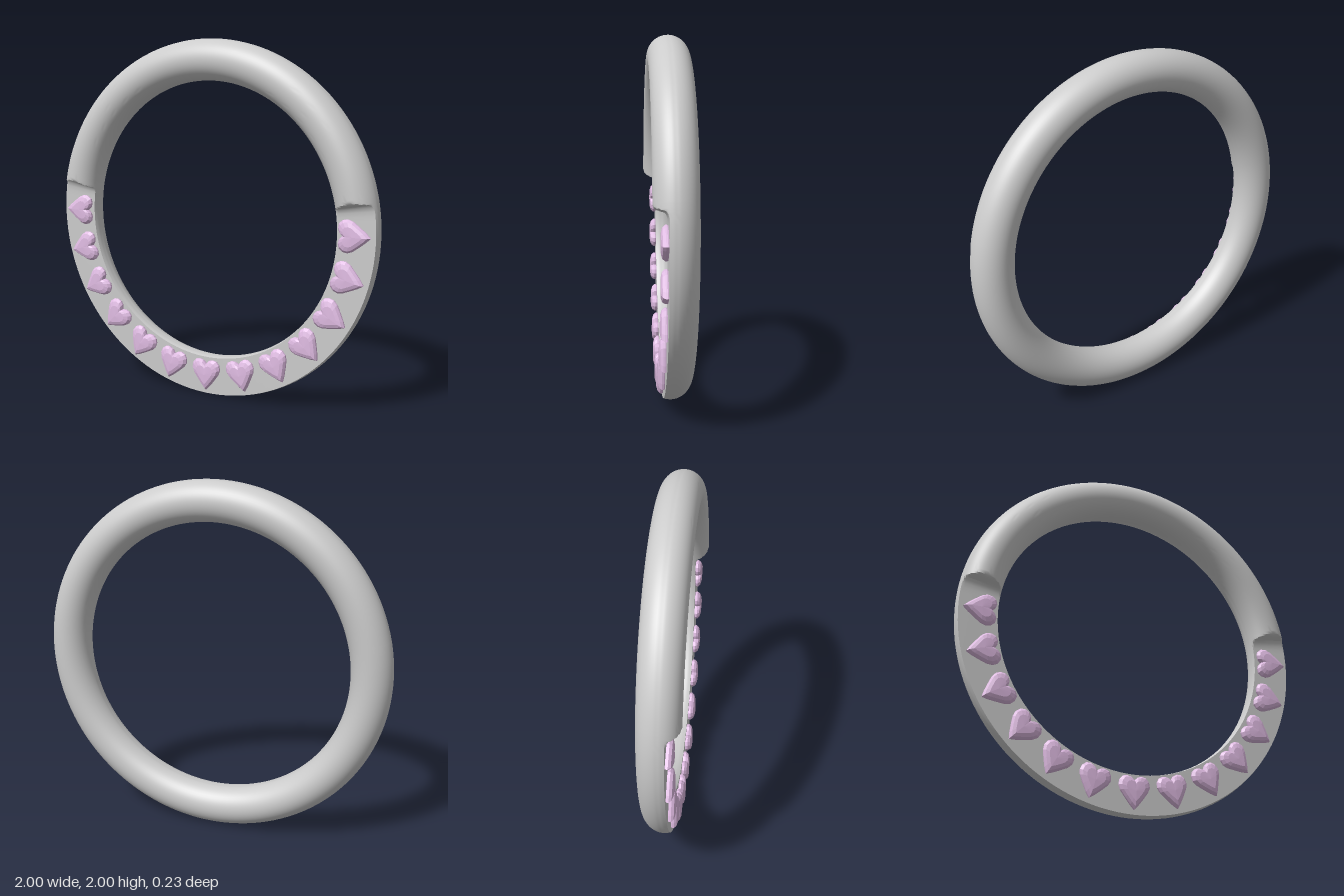
import * as THREE from 'three';
import { toCreasedNormals } from 'three/addons/utils/BufferGeometryUtils.js';

const R = 0.887, T = 0.113, FLAT = 0.037;
const rad = THREE.MathUtils.degToRad;

// Joins loops of equal length into a skin; optionally closes the loops end to end
function skin(loops, wrap, capPoint) {
  const n = loops[0].length, m = loops.length, index = [];
  const points = loops.flat();
  for (let i = 0; i < (wrap ? m : m - 1); i++) {
    for (let j = 0; j < n; j++) {
      const k = (j + 1) % n, next = (i + 1) % m;
      const a = i * n + j, b = next * n + j, c = next * n + k, d = i * n + k;
      if (wrap) index.push(a, b, c, a, c, d);
      else index.push(a, d, c, a, c, b);
    }
  }
  if (capPoint) {
    points.push(capPoint);
    for (let j = 0; j < n; j++) index.push((m - 1) * n + j, (m - 1) * n + (j + 1) % n, points.length - 1);
  }
  const geometry = new THREE.BufferGeometry().setFromPoints(points);
  geometry.setIndex(index);
  return geometry;
}

// Height of the front face at an elevation in degrees: flat channel, fillet, step, full tube
const stepProfile = [[6.5, FLAT], [8, 0.039], [9.2, 0.044], [9.9, 0.053], [10.3, 0.075],
  [10.7, 0.096], [11.2, 0.107], [12, T]];
function frontLimit(e) {
  if (e <= stepProfile[0][0]) return FLAT;
  for (let i = 1; i < stepProfile.length; i++) {
    const [e0, z0] = stepProfile[i - 1], [e1, z1] = stepProfile[i];
    if (e <= e1) return z0 + (z1 - z0) * (e - e0) / (e1 - e0);
  }
  return T;
}

function ringGeometry() {
  // Elevations of the right half, with extra sections at the step
  const half = [];
  for (let e = -90; e <= 90; e += 2.5) if (e < 6.4 || e > 12.1) half.push(e);
  half.push(...stepProfile.map(p => p[0]));
  half.sort((a, b) => a - b);
  const turns = half.map(e => [e, e]);
  for (const e of half.slice(1, -1).reverse()) turns.push([180 - e, e]);

  // Cross-section angles, with samples exactly on the edges of the flat
  const edge = Math.asin(FLAT / T), section = [];
  for (let i = 0; i < 24; i++) section.push(edge + (Math.PI - 2 * edge) * i / 24);
  for (let i = 0; i < 30; i++) section.push(Math.PI - edge + (Math.PI + 2 * edge) * i / 30);

  const loops = turns.map(([deg, e]) => section.map(v => {
    const r = R + T * Math.cos(v), z = Math.min(T * Math.sin(v), frontLimit(e));
    return new THREE.Vector3(r * Math.cos(rad(deg)), r * Math.sin(rad(deg)), z);
  }));
  return toCreasedNormals(skin(loops, true), 0.6);
}

// Faceted heart with a girdle, sloping crown and a slightly raised table
function heartGeometry() {
  const right = [[0.024, -0.058], [0.052, -0.022], [0.078, 0.014], [0.088, 0.042], [0.083, 0.07],
    [0.066, 0.09], [0.042, 0.096], [0.019, 0.089]];
  const outline = [[0, -0.083], ...right, [0, 0.07], ...right.slice().reverse().map(([x, y]) => [-x, y])];
  const layers = [[0.92, 0.03], [1, 0.043], [1, 0.052], [0.86, 0.066], [0.6, 0.073]];
  const loops = layers.map(([s, z]) =>
    outline.map(([x, y]) => new THREE.Vector3(x * s, 0.015 + (y - 0.015) * s, z)));
  return skin(loops, false, new THREE.Vector3(0, 0.01, 0.075)).toNonIndexed();
}

export function createModel() {
  const model = new THREE.Group();
  model.name = 'heartRing';

  const ring = new THREE.Mesh(ringGeometry(), new THREE.MeshStandardMaterial({ color: 0xcccccc }));
  ring.name = 'ring';
  ring.position.y = 1;
  model.add(ring);

  // Thirteen gems along the lower half, tips pointing outward
  const gems = new THREE.Group();
  gems.name = 'heartGems';
  gems.position.y = 1;
  const geometry = heartGeometry();
  geometry.computeVertexNormals();
  const material = new THREE.MeshStandardMaterial({ color: 0xdfbbe2, flatShading: true });
  for (let i = 0; i <= 12; i++) {
    const a = rad(-180 + i * 15);
    const gem = new THREE.Mesh(geometry, material);
    gem.name = 'heartGem' + (i + 1);
    gem.position.set(R * Math.cos(a), R * Math.sin(a), 0);
    gem.rotation.z = a + Math.PI / 2;
    gems.add(gem);
  }
  model.add(gems);
  return model;
}
